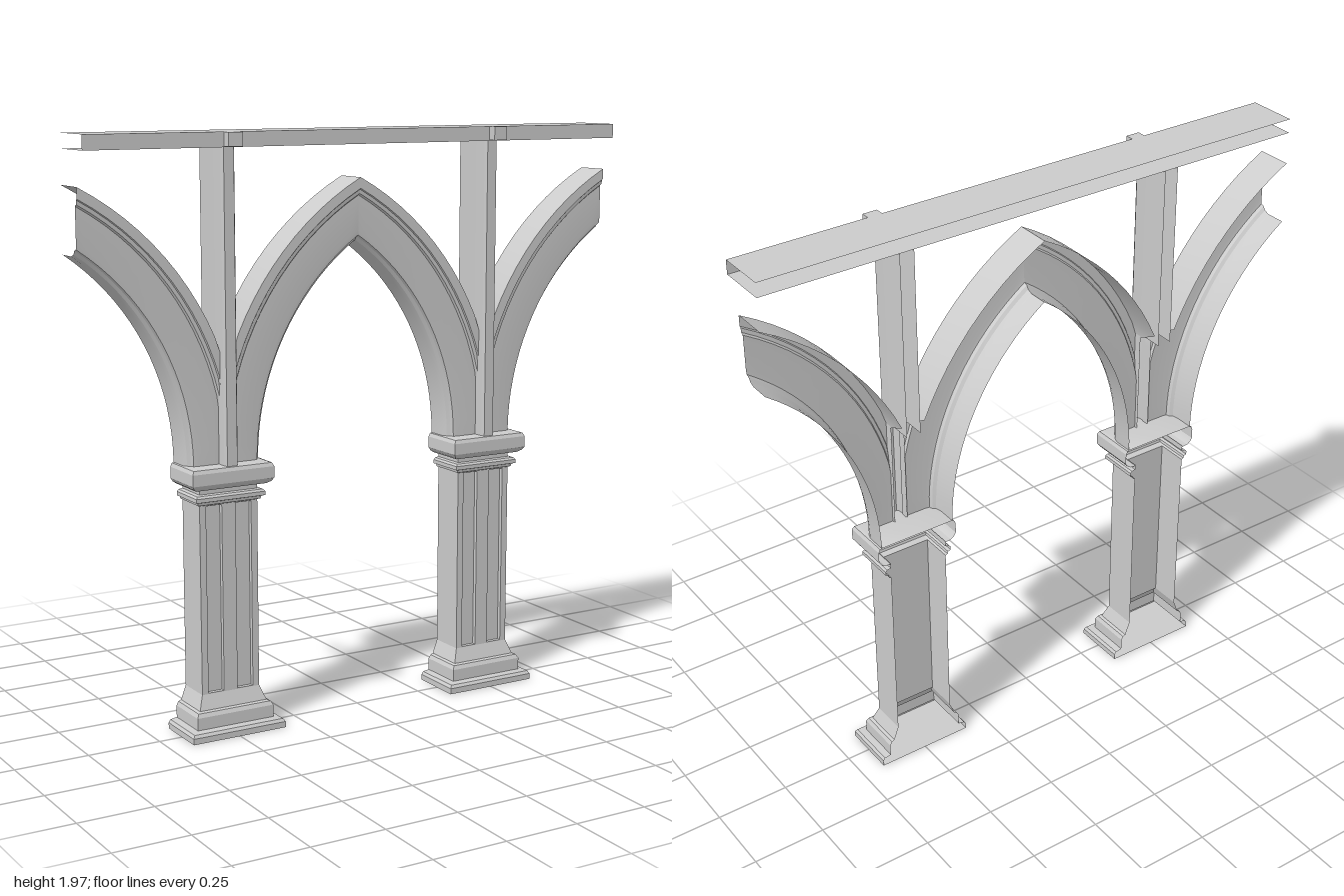
import * as THREE from 'three';
import { toCreasedNormals } from 'three/addons/utils/BufferGeometryUtils.js';

const material = new THREE.MeshStandardMaterial({ color: 0xcccccc, side: THREE.DoubleSide });
const BACK = -0.1;       // open rear plane
const SPRING = 0.9;      // height where the arches start

function addMesh(parent, name, geometry) {
  const mesh = new THREE.Mesh(geometry, material);
  mesh.name = name;
  parent.add(mesh);
  return mesh;
}

// Surface through rows of points; every row has the same number of points.
function loft(rows) {
  const n = rows[0].length;
  const index = [];
  for (let i = 0; i < rows.length - 1; i++) {
    for (let j = 0; j < n - 1; j++) {
      const a = i * n + j, b = a + 1, c = a + n, d = c + 1;
      index.push(a, b, d, a, d, c);
    }
  }
  const geometry = new THREE.BufferGeometry();
  geometry.setAttribute('position', new THREE.Float32BufferAttribute(rows.flat(2), 3));
  geometry.setIndex(index);
  return toCreasedNormals(geometry, 0.4);
}

// Three-sided course around the shaft: profile of [overhang, y], open at the back.
function course(profile) {
  return loft(profile.map(([o, y]) => {
    const h = 0.105 + o, z = 0.025 + o;
    return [[-h, y, BACK], [-h, y, z], [h, y, z], [h, y, BACK]];
  }));
}

// Upright open channel: section of [x, z] between two heights.
function channel(section, y0, y1) {
  return loft([y0, y1].map((y) => section.map(([x, z]) => [x, y, z])));
}

function rectPath(Type, x0, y0, x1, y1) {
  const p = new Type();
  p.moveTo(x0, y0).lineTo(x1, y0).lineTo(x1, y1).lineTo(x0, y1).closePath();
  return p;
}

function createPier() {
  const pier = new THREE.Group();
  const low = 0.14, high = 0.775;

  addMesh(pier, 'base', course([
    [-0.105, 0], [0.065, 0], [0.065, 0.02], [0.058, 0.03], [0.035, 0.034],
    [0.035, 0.075], [0.028, 0.088], [0.018, 0.092], [0.012, 0.108], [0, low],
  ]));

  // Shaft front with two sunken panels
  const plate = rectPath(THREE.Shape, -0.105, low, 0.105, high);
  for (const s of [-1, 1]) {
    const a = s * 0.025, b = s * 0.082;
    const x0 = Math.min(a, b), x1 = Math.max(a, b);
    plate.holes.push(rectPath(THREE.Path, x0, low + 0.003, x1, high - 0.003));
    const floor = new THREE.PlaneGeometry(x1 - x0, high - low - 0.006);
    floor.translate((x0 + x1) / 2, (low + high) / 2, 0.01);
    addMesh(pier, 'shaftPanel', floor);
  }
  const front = new THREE.ExtrudeGeometry(plate, { depth: 0.015, bevelEnabled: false });
  addMesh(pier, 'shaftFront', front.translate(0, 0, 0.01));
  for (const s of [-1, 1]) {
    const x = s * 0.105;
    const wall = s < 0 ? [[x, BACK], [x, 0.025]] : [[x, 0.025], [x, BACK]];
    addMesh(pier, 'shaftSide', channel(wall, low, high));
  }

  addMesh(pier, 'neckMoulding', course([
    [0, high], [0.008, 0.778], [0.01, 0.787], [0.02, 0.79], [0.02, 0.803], [0.014, 0.81], [0, 0.812], [0, 0.832],
  ]));
  addMesh(pier, 'capital', course([
    [0, 0.828], [0.022, 0.83], [0.034, 0.838], [0.042, 0.85], [0.042, 0.888],
    [0.036, SPRING], [0.026, 0.903], [-0.105, 0.903],
  ]));

  // Wall post: full depth above the arches, shallow rib between them
  addMesh(pier, 'post', channel(
    [[-0.025, 0], [-0.024, 0.046], [-0.018, 0.056], [0.018, 0.056], [0.024, 0.046], [0.025, 0]], SPRING, 1.92));
  for (const s of [-1, 1]) {
    const x = s * 0.025;
    addMesh(pier, 'postSide', channel(s < 0 ? [[x, BACK], [x, 0]] : [[x, 0], [x, BACK]], 1.28, 1.92));
  }

  // Small block on the front of the rail
  const block = new THREE.BoxGeometry(0.05, 0.045, 0.032);
  addMesh(pier, 'railBlock', block.translate(0, 1.945, 0.09));
  return pier;
}

// Right half of a pointed arch about x = 0, moulded section of [radius, z].
function halfArchGeometry() {
  const half = 0.365, rise = 0.695;
  const c = (rise * rise - half * half) / (2 * half);
  const R = half + c;
  const section = [
    [R, BACK], [R, -0.03], [R + 0.006, -0.012], [R + 0.016, -0.004], [R + 0.02, 0.008], [R + 0.034, 0.01],
    [R + 0.132, 0.01], [R + 0.137, 0.018], [R + 0.149, 0.02], [R + 0.152, 0.025], [1.028, 0.025], [1.028, BACK],
  ];
  const rows = [];
  const steps = 18, limit = 0.478;
  for (let i = 0; i <= steps; i++) {
    rows.push(section.map(([r, z]) => {
      const t = (i / steps) * Math.acos(c / r);
      const x = r * Math.cos(t) - c;
      // the foot is cut off against the post
      return [Math.min(x, limit), SPRING + r * Math.sin(t), x > limit ? Math.max(z, 0) : z];
    }));
  }
  return loft(rows);
}

export function createModel() {
  const model = new THREE.Group();
  model.name = 'arcade';

  for (const [x, name] of [[-0.5, 'rightPier'], [0.5, 'leftPier']]) {
    const pier = createPier();
    pier.name = name;
    pier.position.x = x;
    model.add(pier);
  }

  // One whole arch in the middle, a half arch at each end
  const arch = halfArchGeometry();
  for (const [x, side] of [[-1, 1], [0, -1], [0, 1], [1, -1]]) {
    const mesh = addMesh(model, 'halfArch', arch);
    mesh.position.x = x;
    mesh.scale.x = side;
  }

  // Top rail: underside, front and top, open at the ends and back
  const rail = [[1.92, BACK], [1.92, 0.075], [1.968, 0.075], [1.968, BACK]];
  addMesh(model, 'rail', loft(rail.map(([y, z]) => [[-1, y, z], [1, y, z]])));
  return model;
}
